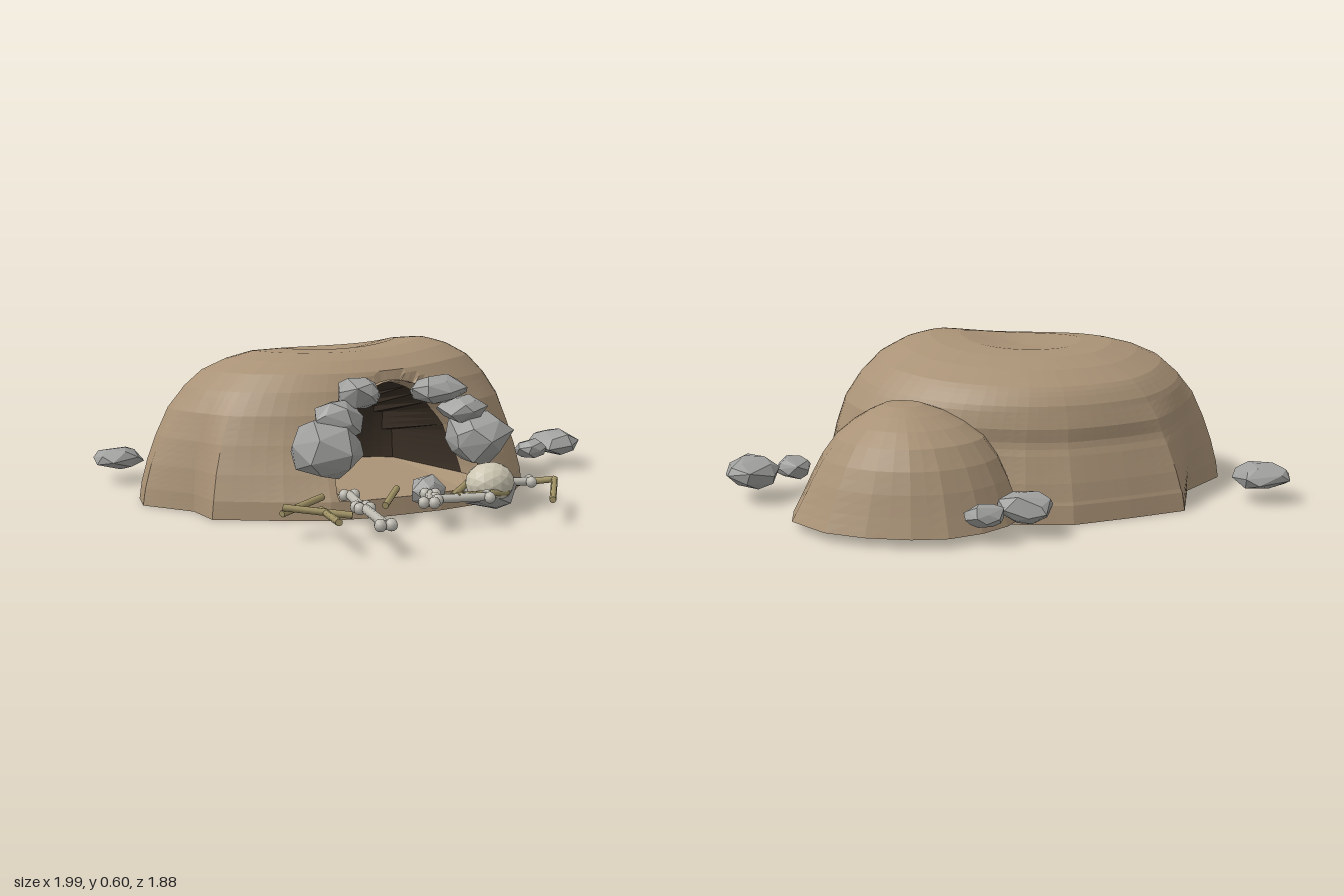
import * as THREE from 'three';
import { ConvexGeometry } from 'three/addons/geometries/ConvexGeometry.js';

const mat = (name, color) => {
  const m = new THREE.MeshStandardMaterial({ color });
  m.name = name;
  return m;
};

// Small seeded random generator
function seeded(seed) {
  let s = seed * 7919 + 17;
  return () => (s = (s * 16807) % 2147483647) / 2147483647;
}

// Split each straight run between list entries into n steps
function subdivide(list, n, closed) {
  const out = [];
  const runs = closed ? list.length : list.length - 1;
  for (let i = 0; i < runs; i++) {
    const a = list[i], b = list[(i + 1) % list.length];
    for (let k = 0; k < n; k++) out.push(a.map((v, q) => v + (b[q] - v) * k / n));
  }
  if (!closed) out.push(list[list.length - 1]);
  return out;
}

// Faceted geometry from a loose list of triangle corners
function faceted(points) {
  const g = new THREE.BufferGeometry().setFromPoints(points);
  g.computeVertexNormals();
  return g;
}

// Mound: a footprint that shrinks and rounds into an ellipse level by level.
// "shape" may move a point and mark it as lying deep inside the cave.
function mound([cx, cz], [rx, rz], footprint, levels, sub, shape, lipRow) {
  const foot = subdivide(footprint, sub, true);
  const rows = subdivide(levels, sub, false).map(([s, y]) => foot.map(([x, z]) => {
    const dx = x - cx, dz = z - cz;
    const round = 0.85 * Math.min(1, y / 0.42) ** 1.3;
    const k = s * (1 - round + round / Math.hypot(dx / rx, dz / rz));
    const p = new THREE.Vector3(cx + dx * k, y, cz + dz * k);
    return { p, deep: shape(p) };
  }));
  const outer = [], inner = [];
  const n = foot.length;
  for (let j = 0; j < rows.length - 1; j++) {
    for (let i = 0; i < n; i++) {
      const k = (i + 1) % n;
      const a = rows[j][i], b = rows[j + 1][i], c = rows[j + 1][k], d = rows[j][k];
      const dark = j > lipRow && [a, b, c, d].some(v => v.deep);
      (dark ? inner : outer).push(a.p, b.p, d.p, b.p, c.p, d.p);
    }
  }
  // flat underside
  const mid = new THREE.Vector3(cx, levels[0][1], cz);
  for (let i = 0; i < n; i++) outer.push(mid, rows[0][i].p, rows[0][(i + 1) % n].p);
  return { outer: faceted(outer), inner: faceted(inner) };
}

// Main mound: uneven top, steep front, fuller back, and an arched mouth pushed inwards
const LIP = 0.07;
function shapeMain(p) {
  const dx = p.x + 0.12, dz = p.z + 0.15;
  const front = Math.max(0, dz / (Math.hypot(dx, dz) + 0.001));
  if (p.y > LIP) {
    const pull = 0.14 * front * Math.sin(Math.PI * Math.min(1, (p.y - LIP) / 0.6));
    const swell = dz < 0 ? 0.14 * Math.min(1, Math.max(0, (p.y - 0.3) / 0.18)) : 0;
    p.z = -0.15 + dz * (1 - pull + swell);
    p.y += 0.04 * Math.exp(-((p.x - 0.23) ** 2 + p.z ** 2) / 0.07) * Math.min(1, p.y / 0.5);
    p.y -= 0.1 * Math.max(0, -dz) * Math.min(1, p.y / 0.5);
  }
  if (p.z < 0.02 || p.y < LIP + 0.005) return false;
  const u = (p.x + 0.07) / 0.3, v = (p.y - LIP) / 0.4;
  const r = Math.hypot(u, v);
  if (r > 1.07) return false;
  if (r > 0.76) {
    // rim of the mouth, then the entrance wall just behind it
    const ring = r > 0.91 ? 1 : 0.96;
    p.x = -0.07 + 0.3 * u * ring / r;
    p.y = LIP + 0.4 * v * ring / r;
    if (ring < 1) p.z -= 0.14;
    return false;
  }
  p.z = -0.1 - 0.15 * (1 - r * r);
  return true;
}

// Rear mound: outer side leans in towards the top
function shapeRear(p) {
  p.x -= Math.max(0, p.x - 0.42) * Math.min(0.25, p.y * 0.65);
  return false;
}

export function createModel() {
  const group = new THREE.Group();
  const earth = mat('earth brown', 0xa99276);
  const shade = mat('cave dark', 0x3a3026);
  const stone = mat('stone grey', 0xa0a09e);
  const bone = mat('bone', 0xbebcb2);
  const pale = mat('pale skull', 0xcbc5b1);
  const wood = mat('dry wood', 0xa09265);

  const add = (name, geo, material, parent = group) => {
    const m = new THREE.Mesh(geo, material);
    m.name = name;
    parent.add(m);
    return m;
  };

  // Main mound and cave
  const mainFoot = [
    [0.63, -0.18], [0.61, 0], [0.56, 0.15], [0.43, 0.29], [0.3, 0.37], [0.18, 0.41], [0.03, 0.43],
    [-0.12, 0.43], [-0.27, 0.425], [-0.4, 0.4], [-0.55, 0.33], [-0.77, 0.2], [-0.79, 0.05],
    [-0.93, -0.13], [-0.91, -0.26], [-0.7, -0.43], [-0.57, -0.69], [-0.35, -0.73], [-0.13, -0.76],
    [0.03, -0.72], [0.2, -0.63], [0.42, -0.5], [0.57, -0.34]];
  const mainLevels = [[1, 0.005], [0.99, LIP], [0.965, 0.16], [0.925, 0.26], [0.87, 0.36], [0.79, 0.44],
    [0.7, 0.5], [0.58, 0.54], [0.45, 0.565], [0.3, 0.57], [0.15, 0.555], [0, 0.545]];
  const main = mound([-0.12, -0.15], [0.78, 0.59], mainFoot, mainLevels, 4, shapeMain, 4);
  add('mainMound', main.outer, earth);
  add('caveInterior', main.inner, shade);

  // Smaller mound behind
  const rearFoot = [
    [0.81, -0.58], [0.79, -0.45], [0.74, -0.33], [0.65, -0.21], [0.5, -0.2], [0.3, -0.25], [0.12, -0.4],
    [0.02, -0.58], [0.04, -0.73], [0.12, -0.82], [0.22, -0.88], [0.34, -0.91], [0.46, -0.89],
    [0.6, -0.83], [0.72, -0.74]];
  const rearLevels = [[1, 0.035], [0.95, 0.1], [0.9, 0.17], [0.83, 0.24], [0.72, 0.305], [0.56, 0.35],
    [0.38, 0.385], [0.2, 0.41], [0, 0.415]];
  add('rearMound', mound([0.42, -0.54], [0.38, 0.36], rearFoot, rearLevels, 2, shapeRear, 99).outer, earth);

  // Faceted rocks: centre, then half sizes
  const rocks = new THREE.Group();
  rocks.name = 'rocks';
  group.add(rocks);
  [
    [-0.41, 0.265, 0.4, 0.13, 0.115, 0.13], [-0.37, 0.36, 0.4, 0.1, 0.075, 0.1],
    [-0.28, 0.45, 0.38, 0.09, 0.06, 0.1], [0.04, 0.445, 0.38, 0.11, 0.055, 0.1],
    [0.14, 0.37, 0.38, 0.09, 0.055, 0.1], [0.2, 0.265, 0.4, 0.125, 0.105, 0.13],
    [-0.08, 0.105, 0.52, 0.065, 0.06, 0.06], [0.17, 0.085, 0.53, 0.1, 0.075, 0.09],
    [-0.9, 0.1, -0.63, 0.11, 0.05, 0.1], [0.74, 0.1, -0.06, 0.07, 0.045, 0.07],
    [0.9, 0.11, -0.13, 0.1, 0.06, 0.14], [0.06, 0.1, -0.83, 0.1, 0.055, 0.085],
    [0.22, 0.1, -0.9, 0.075, 0.04, 0.04],
  ].forEach(([x, y, z, sx, sy, sz], i) => {
    const rnd = seeded(i + 1);
    const pts = [];
    for (let k = 0; k < 22; k++) {
      const h = 1 - 2 * (k + 0.5) / 22, a = k * 2.4 + rnd() * 0.7;
      const w = Math.sqrt(1 - h * h), r = 0.9 + rnd() * 0.2;
      pts.push(new THREE.Vector3(w * Math.cos(a) * r * sx, h * r * sy, w * Math.sin(a) * r * sz));
    }
    add('rock', new ConvexGeometry(pts), stone, rocks).position.set(x, y, z);
  });

  // Faceted skull resting on the front rock
  const skullGeo = new THREE.IcosahedronGeometry(1, 2);
  skullGeo.computeVertexNormals();
  const skull = add('skull', skullGeo, pale);
  skull.scale.set(0.092, 0.075, 0.08);
  skull.position.set(0.158, 0.12, 0.555);

  // Rod between two points
  const up = new THREE.Vector3(0, 1, 0);
  const rod = (name, a, b, radius, material, parent) => {
    const dir = b.clone().sub(a);
    const m = add(name, new THREE.CylinderGeometry(radius, radius, dir.length(), 8), material, parent);
    m.position.copy(a).lerp(b, 0.5);
    m.quaternion.setFromUnitVectors(up, dir.normalize());
  };

  // Bones with twin knobs at both ends: x, z to x, z
  [
    [-0.4, 0.68, -0.44, 0.915], [-0.36, 0.47, -0.4, 0.65], [-0.1, 0.58, -0.17, 0.7],
    [-0.12, 0.66, 0.06, 0.705], [0.2, 0.5, 0.335, 0.55],
  ].forEach(([x1, z1, x2, z2]) => {
    const b = new THREE.Group();
    b.name = 'bone';
    group.add(b);
    const ends = [new THREE.Vector3(x1, 0.108, z1), new THREE.Vector3(x2, 0.108, z2)];
    rod('boneShaft', ends[0], ends[1], 0.016, bone, b);
    const side = ends[1].clone().sub(ends[0]).cross(up).setLength(0.018);
    for (const e of ends) for (const s of [-1, 1]) {
      add('boneKnob', new THREE.SphereGeometry(0.021, 8, 6), bone, b).position.copy(e).addScaledVector(side, s);
    }
  });

  // Scattered sticks
  [
    [-0.65, 0.57, -0.47, 0.49], [-0.65, 0.58, -0.45, 0.69], [-0.51, 0.57, -0.57, 0.85],
    [-0.18, 0.48, -0.29, 0.61], [-0.01, 0.58, 0.1, 0.5], [-0.05, 0.68, 0.2, 0.61],
    [0.28, 0.49, 0.415, 0.59], [0.415, 0.59, 0.27, 0.79],
  ].forEach(([x1, z1, x2, z2], i) => {
    const tilt = i % 2 ? 0.012 : -0.012;
    rod('stick', new THREE.Vector3(x1, 0.104 + tilt, z1), new THREE.Vector3(x2, 0.104 - tilt, z2), 0.012, wood, group);
  });

  return group;
}
